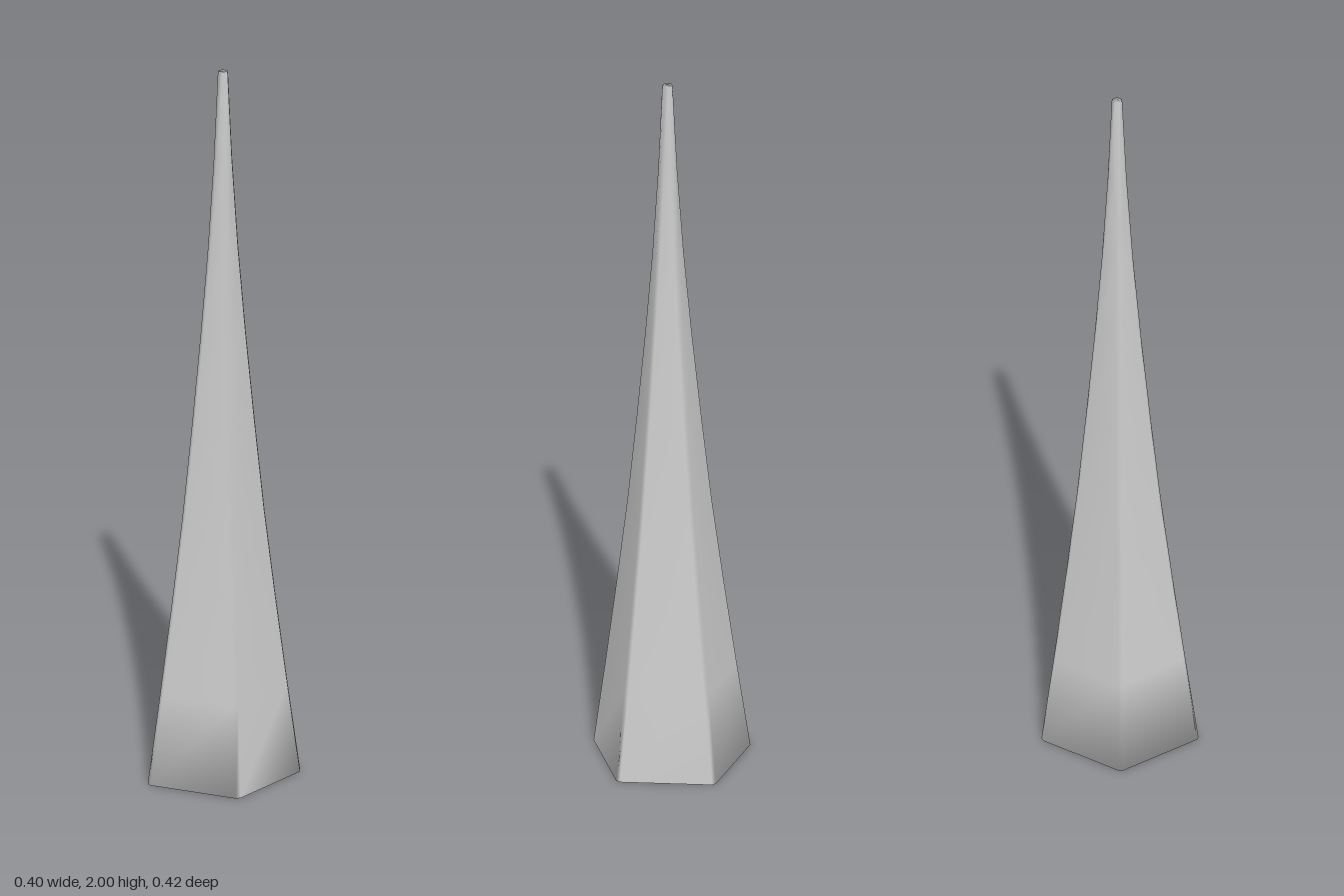
import * as THREE from 'three';

const SIDES = 5;
const CHAMFER = 0.008; // length cut from each corner along the edges
// circumradius of the pentagon at evenly spaced heights
const RADII = [0.222, 0.186, 0.152, 0.12, 0.093, 0.068, 0.046, 0.029, 0.017];
const HEIGHT = 2;

// Pentagon with chamfered corners, counterclockwise seen from above
function ring(radius, y) {
  const cx = -0.007 - 0.06 * radius; // the spire leans slightly
  const corner = (i) => {
    const a = (i * 2 * Math.PI) / SIDES;
    return new THREE.Vector3(cx + radius * Math.cos(a), y, -radius * Math.sin(a));
  };
  const points = [];
  const t = CHAMFER / (2 * radius * Math.sin(Math.PI / SIDES));
  for (let i = 0; i < SIDES; i++) {
    points.push(corner(i).lerp(corner(i - 1), t), corner(i).lerp(corner(i + 1), t));
  }
  return points;
}

// Loft through the rings, closed at both ends, with shared smooth normals
function spireGeometry() {
  const n = SIDES * 2;
  const last = RADII.length - 1;
  const points = RADII.flatMap((r, k) => ring(r, (HEIGHT * k) / last));
  const index = [];
  for (let k = 0; k < last; k++) {
    for (let i = 0; i < n; i++) {
      const a = k * n + i;
      const b = k * n + ((i + 1) % n);
      index.push(a, b, b + n, a, b + n, a + n);
    }
  }
  // bottom and top caps
  const top = last * n;
  for (let i = 1; i < n - 1; i++) {
    index.push(0, i + 1, i);
    index.push(top, top + i, top + i + 1);
  }
  const geometry = new THREE.BufferGeometry().setFromPoints(points);
  geometry.setIndex(index);
  geometry.computeVertexNormals();
  return geometry;
}

export function createModel() {
  const group = new THREE.Group();
  const spire = new THREE.Mesh(spireGeometry(), new THREE.MeshStandardMaterial({ color: 0xcccccc }));
  spire.name = 'spire';
  group.add(spire);
  return group;
}
